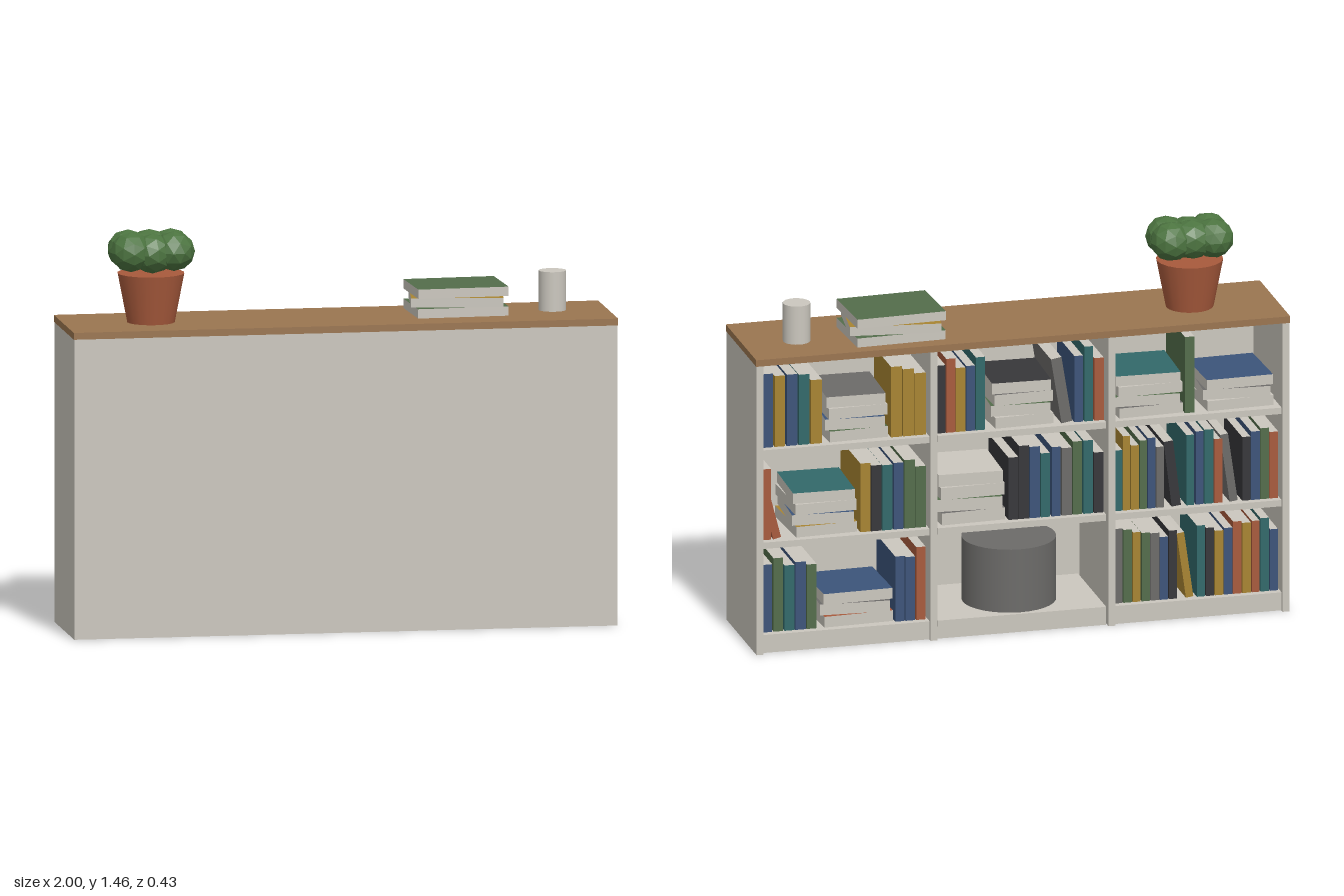
import * as THREE from 'three';

const mat = (name, color, flatShading = false) => {
  const m = new THREE.MeshStandardMaterial({ color, flatShading });
  m.name = name;
  return m;
};

export function createModel() {
  const root = new THREE.Group();
  root.name = 'bookcase';
  const M = {
    w: mat('offWhite', 0xcbc7be), o: mat('wood', 0x9a7550), r: mat('terracotta', 0xa85a3c),
    l: mat('leafGreen', 0x4c7440, true), g: mat('bookGreen', 0x536d4b), b: mat('bookBlue', 0x3c547a),
    t: mat('bookTeal', 0x32696a), m: mat('mustard', 0xa88432), c: mat('charcoal', 0x37373a),
    s: mat('slateGrey', 0x6c6b69),
  };
  let seed = 7;
  const rnd = () => (seed = (seed * 16807) % 2147483647) / 2147483647;

  const add = (name, geo, material, x, y, z, parent = root) => {
    const mesh = new THREE.Mesh(geo, material);
    mesh.name = name;
    mesh.position.set(x, y, z);
    parent.add(mesh);
    return mesh;
  };
  const box = (name, m, w, h, d, x, y, z) => add(name, new THREE.BoxGeometry(w, h, d), m, x, y, z);

  // Carcass: top, back panel, uprights, shelves and plinth (open towards -z)
  box('topSlab', M.o, 2, 0.025, 0.432, 0, 1.1125, 0);
  box('backPanel', M.w, 1.996, 1.1, 0.014, 0, 0.55, 0.207);
  for (const x of [-0.985, -0.333, 0.333, 0.985]) {
    box('upright', M.w, 0.026, 1.1, 0.414, x, 0.55, -0.007);
  }
  const shelfY = [0.07, 0.422, 0.774]; // upper faces, bottom to top
  for (const x of [-0.659, 0, 0.659]) {
    for (const y of shelfY) box('shelf', M.w, 0.63, 0.024, 0.4, x, y - 0.012, 0);
    box('plinth', M.w, 0.63, 0.048, 0.02, x, 0.024, -0.185);
  }

  // Books: covers on the broad faces, pale page edges elsewhere
  const upright = (c, x, y, w, h, lean = 0) => {
    const d = 0.24 + 0.05 * rnd();
    const k = M[c];
    const geo = new THREE.BoxGeometry(w, h, d).translate(0, h / 2, 0);
    const book = add('uprightBook', geo, [k, k, M.w, M.w, M.w, k], x, y + Math.abs(Math.sin(lean)) * w / 2, -0.172 + d / 2);
    book.rotation.z = lean;
  };
  // A run of standing books from x0 (towards +x) down to x1
  const row = (shelf, x0, x1, colours) => {
    const step = (x0 - x1) / colours.length;
    [...colours].forEach((c, i) => {
      upright(c, x0 - step * (i + 0.5), shelfY[shelf], step * (0.82 + 0.14 * rnd()), 0.23 + 0.055 * rnd());
    });
  };
  const leaning = (shelf, x, c, w, h, angle) => upright(c, x, shelfY[shelf], w, h, angle);
  // Lying books from bottom to top, with small turns
  const stack = (y, x, z, w, d, t, colours, turns = [0.05, -0.06, 0.03, -0.03]) => {
    [...colours].forEach((c, i) => {
      const k = M[c];
      const geo = new THREE.BoxGeometry(w, t * 0.95, d);
      const book = add('lyingBook', geo, [M.w, M.w, k, k, M.w, M.w], x, y + t * (i + 0.5), z);
      book.rotation.y = turns[i];
    });
  };

  // Bay at +x
  row(2, 0.968, 0.74, 'bmbtm');
  stack(shelfY[2], 0.61, -0.04, 0.22, 0.26, 0.043, 'gbws');
  row(2, 0.485, 0.352, 'mmm');
  leaning(1, 0.95, 'r', 0.035, 0.27, 0.0);
  leaning(1, 0.91, 'r', 0.03, 0.27, -0.3 + 0.05);
  stack(shelfY[1], 0.73, -0.04, 0.23, 0.26, 0.042, 'mbwt');
  row(1, 0.6, 0.352, 'mctbgg');
  row(0, 0.968, 0.76, 'bgtbg');
  stack(shelfY[0], 0.61, -0.04, 0.26, 0.26, 0.043, 'rsb');
  row(0, 0.47, 0.352, 'bbr');

  // Middle bay
  row(2, 0.315, 0.13, 'crmbt');
  stack(shelfY[2], -0.01, -0.04, 0.22, 0.26, 0.043, 'wgsc');
  leaning(2, -0.175, 's', 0.04, 0.25, -0.16);
  row(2, -0.2, -0.315, 'btr');
  stack(shelfY[1], 0.18, -0.04, 0.24, 0.26, 0.048, 'sgww');
  row(1, 0.045, -0.315, 'ccbtbsgtc');
  add('storageDrum', new THREE.CylinderGeometry(0.172, 0.172, 0.24, 32), M.s, 0, shelfY[0] + 0.12, -0.01);

  // Bay at -x
  stack(shelfY[2], -0.485, -0.04, 0.24, 0.26, 0.04, 'sgwt');
  upright('g', -0.635, shelfY[2], 0.035, 0.29);
  stack(shelfY[2], -0.82, -0.04, 0.25, 0.26, 0.04, 'wsb');
  row(1, -0.352, -0.54, 'tmmgbs');
  leaning(1, -0.585, 'c', 0.035, 0.25, -0.12);
  row(1, -0.62, -0.76, 'tbtr');
  leaning(1, -0.8, 's', 0.03, 0.26, -0.14);
  row(1, -0.83, -0.968, 'cbgr');
  row(0, -0.352, -0.59, 'sgmgsbc');
  leaning(0, -0.635, 'm', 0.028, 0.25, -0.14);
  row(0, -0.66, -0.968, 'tcmbrmrtb');

  // Items on the top
  const topY = 1.125;
  stack(topY, 0.447, -0.035, 0.335, 0.255, 0.036, 'gmg', [0.04, -0.13, 0.045]);
  add('cup', new THREE.CylinderGeometry(0.05, 0.05, 0.145, 20), M.w, 0.8, topY + 0.0725, -0.03);

  // Potted plant
  const plant = new THREE.Group();
  plant.name = 'pottedPlant';
  plant.position.set(-0.68, topY, 0);
  root.add(plant);
  add('pot', new THREE.CylinderGeometry(0.122, 0.087, 0.18, 20), M.r, 0, 0.09, 0, plant);
  const clumps = [
    [-0.078, 0.262, 0.035], [0.078, 0.262, 0.035], [-0.078, 0.262, -0.035], [0.078, 0.262, -0.035],
    [0, 0.255, 0.035], [0, 0.262, -0.03],
  ];
  for (const [x, y, z] of clumps) {
    const leaf = add('leafClump', new THREE.IcosahedronGeometry(0.077, 1), M.l, x, y, z, plant);
    leaf.rotation.y = x * 9 + z * 20;
    leaf.scale.y = 0.95;
  }
  return root;
}
